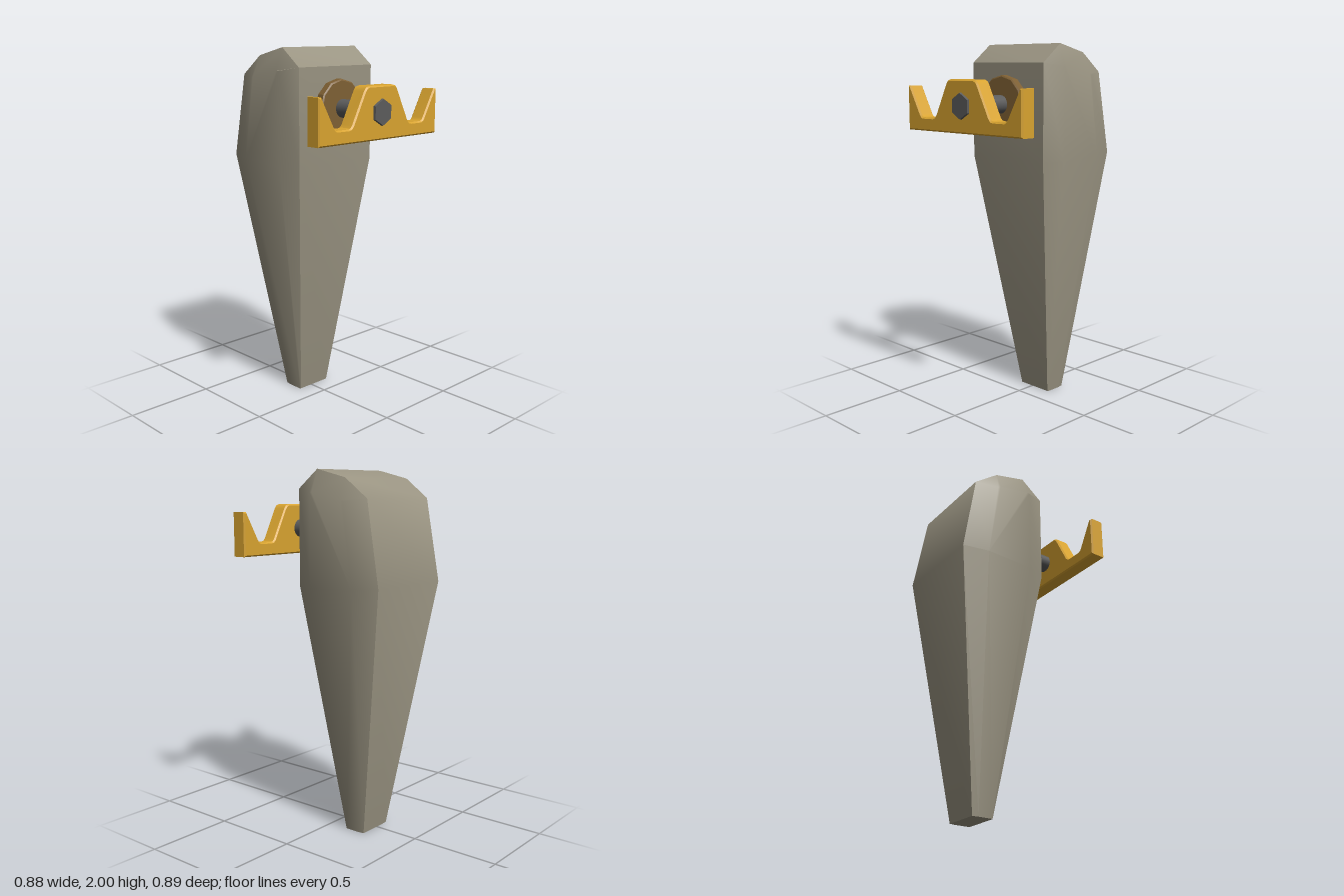
import * as THREE from 'three';
import { toCreasedNormals } from 'three/addons/utils/BufferGeometryUtils.js';

const mat = (color) => new THREE.MeshStandardMaterial({ color });
const AXIS_Y = 1.678;

// Tapered block: side panel loop, rim loop, mirrored rim and mirrored panel
function bodyGeometry() {
  // [x, y, z] counter-clockwise seen from the front, starting at the foot
  const rim = [
    [-0.235, 0, 0.085], [-0.112, 0, 0.085], [0.093, 1.38, 0.27], [0.093, 1.9, 0.27],
    [-0.035, 2, 0.27], [-0.22, 1.955, 0.268], [-0.36, 1.85, 0.265], [-0.44, 1.4, 0.273],
  ];
  const panel = [
    [-0.2, 0, 0.09], [-0.118, 0, 0.09], [-0.02, 1.38, 0.315], [-0.02, 1.88, 0.315],
    [-0.035, 1.88, 0.315], [-0.225, 1.843, 0.315], [-0.24, 1.835, 0.315], [-0.3, 1.39, 0.315],
  ];
  // The foot sits slightly towards the back
  const mirror = (loop) => loop.map(([x, y, z]) => [x, y, y === 0 ? -z - 0.038 : -z]);
  const loops = [panel, rim, mirror(rim), mirror(panel)];
  const n = rim.length;
  const index = [];
  for (let l = 0; l < 3; l++) {
    for (let i = 0; i < n; i++) {
      const a = l * n + i, b = l * n + (i + 1) % n;
      index.push(a, a + n, b, b, a + n, b + n);
    }
  }
  // Panels, fanned from the widest point
  for (let i = 0; i < n - 2; i++) {
    const b = i, c = i + 1;
    index.push(n - 1, b, c);
    index.push(3 * n + n - 1, 3 * n + c, 3 * n + b);
  }
  const g = new THREE.BufferGeometry();
  g.setAttribute('position', new THREE.Float32BufferAttribute(loops.flat(2), 3));
  g.setIndex(index);
  return toCreasedNormals(g, Math.PI / 4);
}

// Hook bar outline, half of it mirrored, extruded along x
function barGeometry(x0, x1) {
  const bevel = 0.008;
  const half = [
    [0.435, 1.543], [0.435, 1.768], [0.427, 1.768], [0.345, 1.622], [0.335, 1.608], [0.32, 1.6],
    [0.235, 1.6], [0.217, 1.604], [0.203, 1.62], [0.118, 1.785], [0.107, 1.8], [0.09, 1.806],
  ];
  const outline = [...half, ...half.map(([z, y]) => [-z, y]).reverse()];
  const shape = new THREE.Shape(outline.map(([z, y]) => new THREE.Vector2(z, y)));
  const g = new THREE.ExtrudeGeometry(shape, {
    depth: x1 - x0 - 2 * bevel, bevelThickness: bevel, bevelSize: bevel, bevelSegments: 1,
  });
  g.rotateY(Math.PI / 2).translate(x0 + bevel, 0, 0);
  return toCreasedNormals(g, 0.6);
}

// Turned part lying along x, from [radius, x] points
function turned(points, sides) {
  const g = new THREE.LatheGeometry(points.map(([r, x]) => new THREE.Vector2(r, x)), sides);
  g.rotateZ(-Math.PI / 2);
  return g;
}

export function createModel() {
  const group = new THREE.Group();
  const add = (name, geometry, material) => {
    const mesh = new THREE.Mesh(geometry, material);
    mesh.name = name;
    group.add(mesh);
    return mesh;
  };
  const metal = mat(0x5c5c5c);

  add('taperedBody', bodyGeometry(), mat(0x9a9482));

  // Slightly tilted mounting disc
  const disc = turned([[0, -0.03], [0.155, -0.03], [0.155, 0.046], [0.147, 0.052], [0, 0.052]], 12);
  const washer = add('mountingDisc', toCreasedNormals(disc, 0.4), mat(0x7d5f33));
  washer.position.set(0.09, AXIS_Y, 0);
  washer.rotation.z = 0.03;

  const rod = turned([[0, 0.08], [0.05, 0.08], [0.05, 0.36], [0, 0.36]], 20);
  add('rod', toCreasedNormals(rod, 0.6), metal).position.y = AXIS_Y;

  add('hookBar', barGeometry(0.335, 0.424), mat(0xd9a430));

  // Hexagonal bolt head with a corner upwards
  const bolt = new THREE.CylinderGeometry(0.068, 0.073, 0.03, 6);
  bolt.rotateY(Math.PI / 2).rotateZ(-Math.PI / 2);
  const p = bolt.attributes.position;
  let top = 0;
  for (let i = 0; i < p.count; i++) top = Math.max(top, p.getY(i));
  if (top < 0.07) bolt.rotateX(Math.PI / 6);
  add('boltHead', toCreasedNormals(bolt, 0.4), metal).position.set(0.422, AXIS_Y, 0);

  return group;
}
